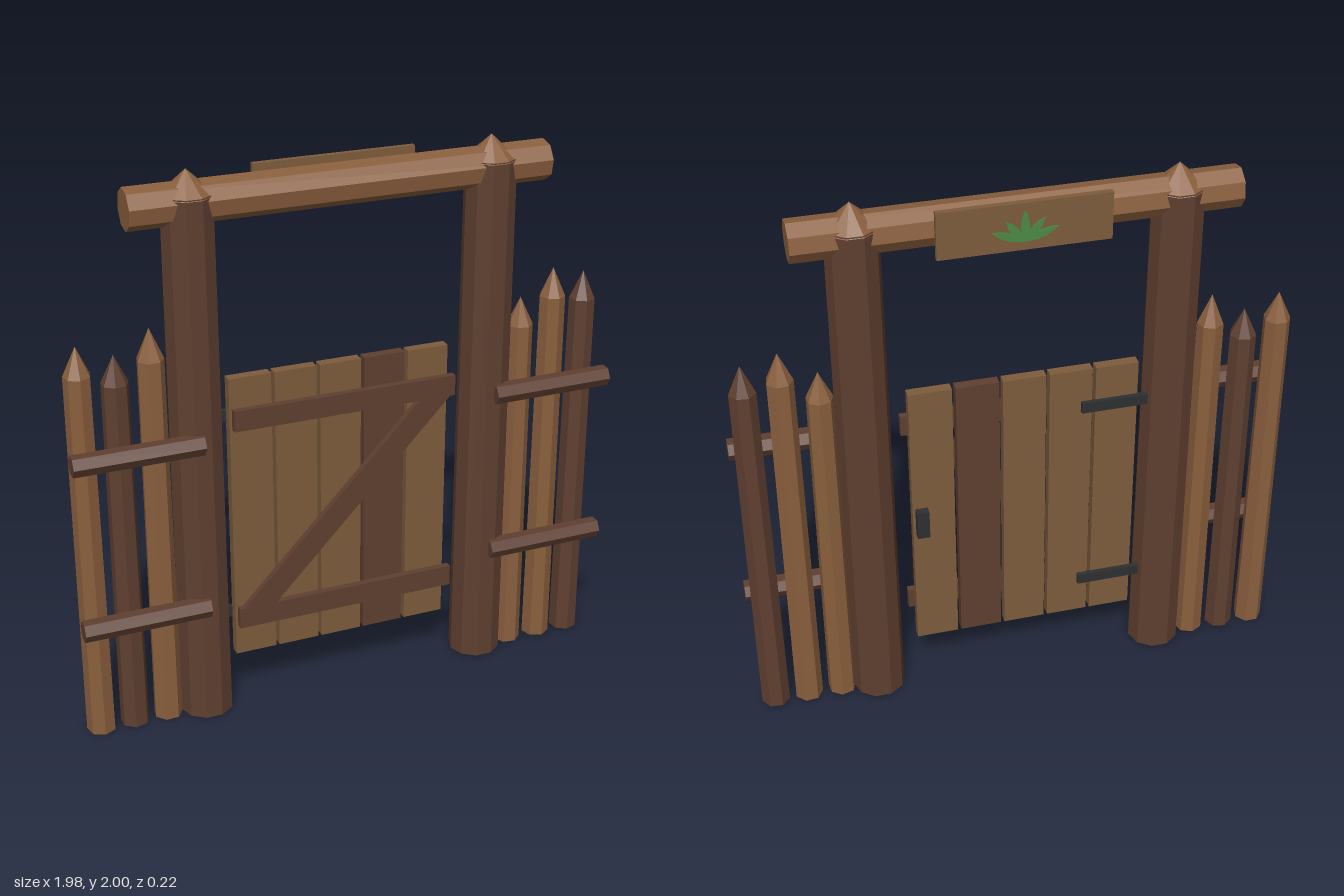
import * as THREE from 'three';

const mat = (name, color, extra = {}) => {
  const m = new THREE.MeshStandardMaterial({ color, flatShading: true, ...extra });
  m.name = name;
  return m;
};

export function createModel() {
  const root = new THREE.Group();
  root.name = 'palisadeGate';

  const lightWood = mat('lightWood', 0x8a5f3d);
  const darkWood = mat('darkWood', 0x5f3f30);
  const plankWood = mat('plankWood', 0x7d5c3c);
  const iron = mat('iron', 0x2e2f31);
  const leafGreen = mat('leafGreen', 0x4c8a45, { side: THREE.DoubleSide });

  const Z = -0.018; // centre plane of posts, pickets and gate

  const add = (name, geometry, material, x, y, z, parent = root) => {
    const mesh = new THREE.Mesh(geometry, material);
    mesh.name = name;
    mesh.position.set(x, y, z);
    parent.add(mesh);
    return mesh;
  };
  const box = (name, x0, x1, y0, y1, z0, z1, material, parent) =>
    add(name, new THREE.BoxGeometry(x1 - x0, y1 - y0, z1 - z0), material,
      (x0 + x1) / 2, (y0 + y1) / 2, (z0 + z1) / 2, parent);
  // horizontal log along x
  const log = (name, x0, x1, y, z, r, sides, turn, material) => {
    const g = new THREE.CylinderGeometry(r, r, x1 - x0, sides).rotateY(turn).rotateZ(Math.PI / 2);
    return add(name, g, material, (x0 + x1) / 2, y, z);
  };

  // Gate posts with pointed caps, and fence rails on each side
  for (const s of [-1, 1]) {
    const side = s < 0 ? 'right' : 'left';
    const post = new THREE.CylinderGeometry(0.09, 0.096, 1.92, 10).rotateY(Math.PI / 2);
    add(side + 'Post', post, darkWood, s * 0.538, 0.96, Z);
    const cap = new THREE.ConeGeometry(0.092, 0.085, 10).rotateY(Math.PI / 2);
    add(side + 'PostCap', cap, lightWood, s * 0.538, 1.9575, Z);
    for (const y of [0.457, 1.08]) {
      log(side + 'FenceRail', Math.min(s * 0.54, s * 0.99), Math.max(s * 0.54, s * 0.99),
        y, 0.07, 0.038, 6, Math.PI / 6 + Math.PI / 3 * 0.5, darkWood);
    }
  }

  // Pickets: x, shoulder height, tip height, material
  const pickets = [
    [-0.93, 1.355, 1.458, lightWood], [-0.807, 1.31, 1.41, darkWood], [-0.684, 1.375, 1.485, lightWood],
    [0.677, 1.295, 1.397, lightWood], [0.803, 1.385, 1.49, lightWood], [0.926, 1.36, 1.462, darkWood],
  ];
  pickets.forEach(([x, shoulder, tip, material], i) => {
    const profile = [[0, 0], [0.052, 0], [0.047, shoulder], [0, tip]].map(p => new THREE.Vector2(...p));
    const g = new THREE.LatheGeometry(profile, 7).rotateY(i * 0.7);
    add('picket', g, material, x, 0, Z);
  });

  // Lintel log across the posts
  log('lintel', -0.745, 0.742, 1.89, Z, 0.071, 8, 0.2, lightWood);

  // Gate planks
  const gate = new THREE.Group();
  gate.name = 'gate';
  root.add(gate);
  for (let i = 0; i < 5; i++) {
    const x = -0.348 + i * 0.1645;
    box('gatePlank', x - 0.076, x + 0.076, 0.193, 1.266, -0.038, 0, i === 3 ? darkWood : plankWood, gate);
  }

  // Z-shaped brace on the front
  box('lowerBrace', -0.415, 0.408, 0.31, 0.388, 0, 0.025, darkWood, gate);
  box('upperBrace', -0.415, 0.408, 1.08, 1.156, 0, 0.025, darkWood, gate);
  const diagonal = new THREE.Shape(
    [[-0.395, 0.388], [-0.275, 0.388], [0.39, 1.08], [0.272, 1.08]].map(p => new THREE.Vector2(...p)));
  add('diagonalBrace', new THREE.ExtrudeGeometry(diagonal, { depth: 0.024, bevelEnabled: false }),
    darkWood, 0, 0, 0, gate);

  // Strap hinges and latch on the back
  for (const y of [0.35, 1.118]) box('hinge', -0.46, -0.22, y - 0.02, y + 0.02, -0.055, -0.035, iron, gate);
  box('latch', 0.332, 0.376, 0.675, 0.785, -0.068, -0.036, iron, gate);

  // Sign board on the back of the lintel
  box('signBoard', -0.29, 0.287, 1.803, 1.969, -0.107, -0.086, plankWood);

  // Painted fan of leaves
  const emblem = new THREE.Group();
  emblem.name = 'leafEmblem';
  emblem.position.set(0, 1.835, -0.11);
  root.add(emblem);
  const leaf = (length, width, angle) => {
    const shape = new THREE.Shape();
    shape.moveTo(0, 0);
    shape.quadraticCurveTo(width, length * 0.5, 0, length);
    shape.quadraticCurveTo(-width, length * 0.5, 0, 0);
    const g = new THREE.ExtrudeGeometry(shape, { depth: 0.004, bevelEnabled: false, curveSegments: 5 });
    add('leaf', g.translate(0, 0, -0.002), leafGreen, 0, 0, 0, emblem).rotation.z = angle;
  };
  leaf(0.11, 0.03, 0);
  for (const s of [-1, 1]) {
    leaf(0.1, 0.028, s * 0.7);
    leaf(0.118, 0.026, s * 1.2);
  }

  return root;
}
